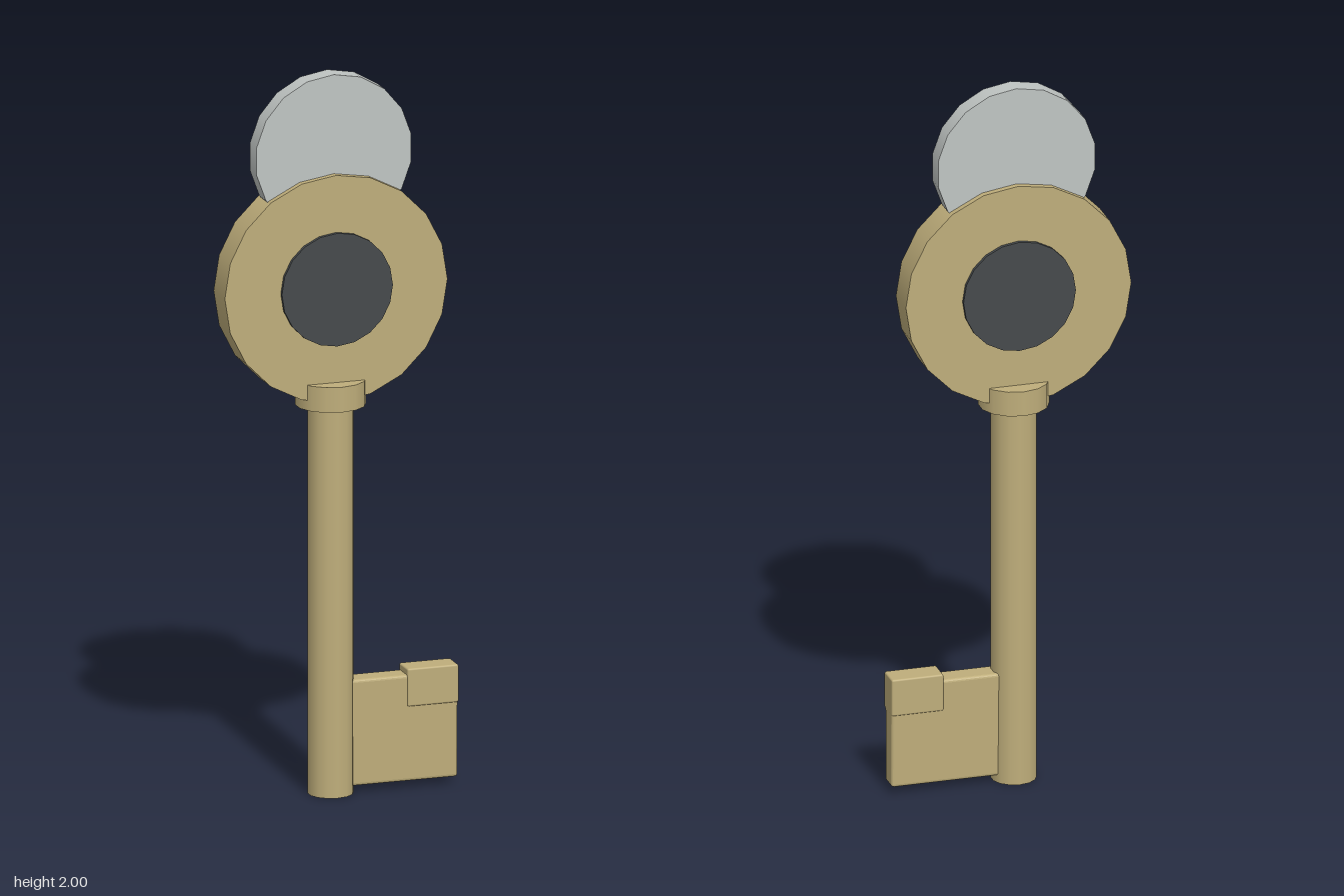
import * as THREE from 'three';
import { RoundedBoxGeometry } from 'three/addons/geometries/RoundedBoxGeometry.js';

const AXIS_X = -0.02;
const AXIS_Z = -0.001;

export function createModel() {
  const key = new THREE.Group();
  key.name = 'key';

  const material = (name, color) => {
    const m = new THREE.MeshStandardMaterial({ color });
    m.name = name;
    return m;
  };
  const brass = material('brass', 0xbfae7b);
  const silver = material('silver', 0xc0c5c3);
  const charcoal = material('charcoal', 0x464a4c);

  const add = (name, geometry, mat, x, y, z = AXIS_Z) => {
    const mesh = new THREE.Mesh(geometry, mat);
    mesh.name = name;
    mesh.position.set(x, y, z);
    key.add(mesh);
    return mesh;
  };
  // Upright cylinder between two heights
  const post = (name, radius, y0, y1) =>
    add(name, new THREE.CylinderGeometry(radius, radius, y1 - y0, 14), brass, AXIS_X, (y0 + y1) / 2);
  // Coin-like disc facing front and back
  const disc = (name, radius, depth, sides, mat, y) =>
    add(name, new THREE.CylinderGeometry(radius, radius, depth, sides).rotateX(Math.PI / 2), mat, AXIS_X, y);

  // Stem and collar
  post('shaft', 0.062, 0, 1.1);
  post('collar', 0.096, 1.08, 1.15);

  // Round handle with an inlay showing on both faces, and the tag behind its top edge
  disc('bow', 0.315, 0.092, 20, brass, 1.41);
  disc('inlay', 0.157, 0.113, 20, charcoal, 1.41);
  disc('tag', 0.222, 0.055, 18, silver, 1.778);

  // Bit: wide plate, slightly slimmer towards its foot, with a raised tooth at the outer corner
  const plate = new RoundedBoxGeometry(0.35, 0.295, 0.066, 2, 0.008);
  const p = plate.attributes.position;
  for (let i = 0; i < p.count; i++) {
    const t = (p.getY(i) + 0.1475) / 0.295;
    p.setZ(i, p.getZ(i) * (0.9 + 0.1 * t));
  }
  plate.computeVertexNormals();
  add('bitPlate', plate, brass, 0.155, 0.1675);
  add('bitTooth', new RoundedBoxGeometry(0.145, 0.105, 0.071, 2, 0.005), brass, 0.2585, 0.2805);

  return key;
}
